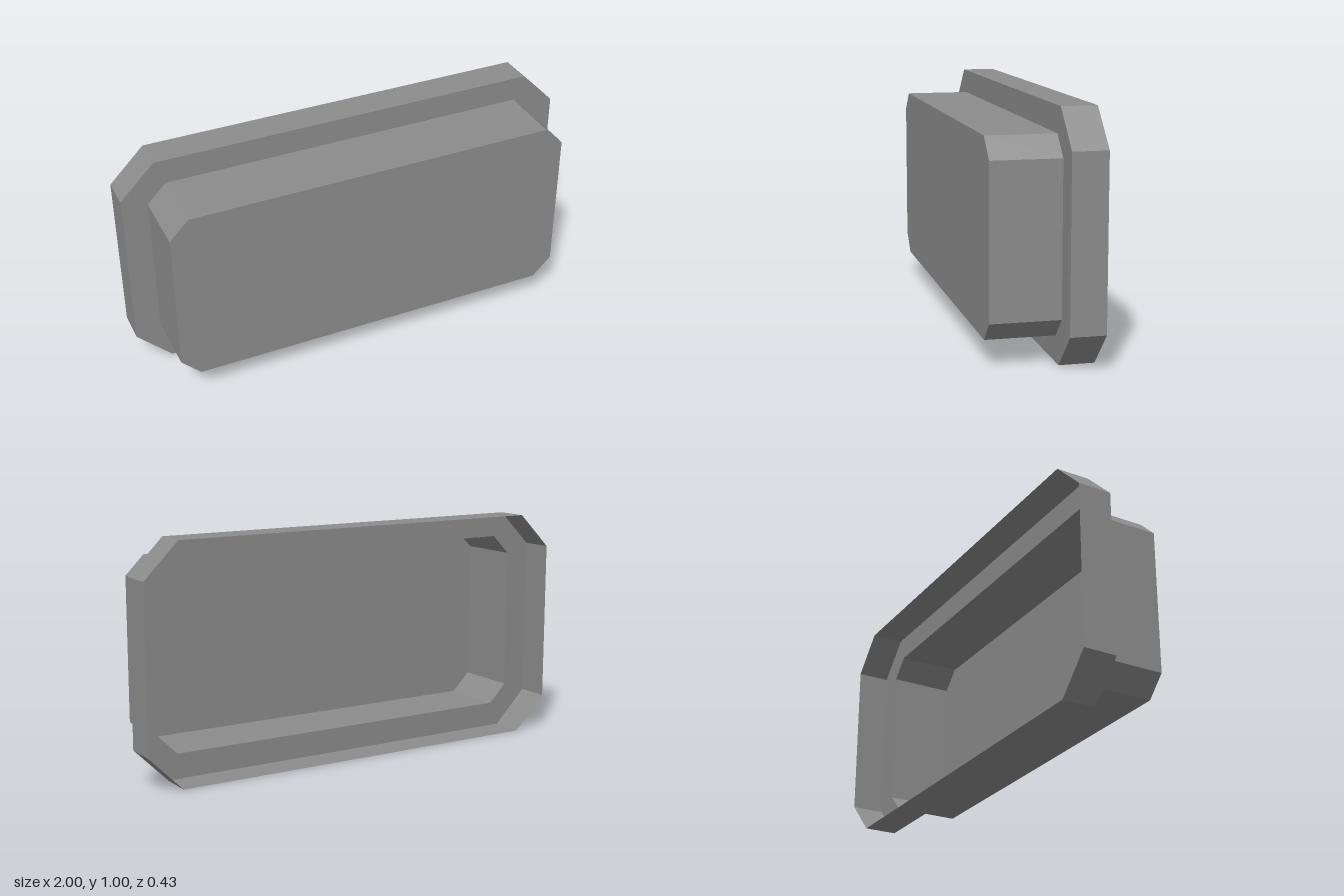
import * as THREE from 'three';

const grey = new THREE.MeshStandardMaterial({ color: 0x8c8c8c, side: THREE.DoubleSide, flatShading: true });
grey.name = 'grey';

const CENTRE_Y = 0.5;
const BACK = -0.214, STEP = -0.07, FRONT = 0.214;

// Rectangle with cut corners, counter-clockwise from the front
function outline(w, h, cx, cy = cx) {
  return [
    [w, -h + cy], [w, h - cy], [w - cx, h], [-w + cx, h],
    [-w, h - cy], [-w, -h + cy], [-w + cx, -h], [w - cx, -h],
  ].map(([x, y]) => new THREE.Vector2(x, y + CENTRE_Y));
}

// Open band of wall panels following an outline from z0 (back) to z1 (front)
function wall(name, points, z0, z1) {
  const pos = [];
  points.forEach((a, i) => {
    const b = points[(i + 1) % points.length];
    pos.push(a.x, a.y, z0, b.x, b.y, z0, b.x, b.y, z1);
    pos.push(a.x, a.y, z0, b.x, b.y, z1, a.x, a.y, z1);
  });
  const geo = new THREE.BufferGeometry();
  geo.setAttribute('position', new THREE.Float32BufferAttribute(pos, 3));
  geo.computeVertexNormals();
  const mesh = new THREE.Mesh(geo, grey);
  mesh.name = name;
  return mesh;
}

// Flat sheet facing the front, with an optional opening
function sheet(name, points, z, hole) {
  const shape = new THREE.Shape(points);
  if (hole) shape.holes.push(new THREE.Path(hole));
  const mesh = new THREE.Mesh(new THREE.ShapeGeometry(shape), grey);
  mesh.position.z = z;
  mesh.name = name;
  return mesh;
}

export function createModel() {
  const model = new THREE.Group();
  model.name = 'hollowCover';

  const rim = outline(1, 0.5, 0.15);
  const body = outline(0.89, 0.393, 0.083);

  // Hollow shell, open at the back
  model.add(
    wall('rimWall', rim, BACK, STEP),
    sheet('rimStep', rim, STEP, body),
    wall('bodyWall', body, STEP, FRONT),
    sheet('frontPanel', body, FRONT),
  );
  return model;
}
